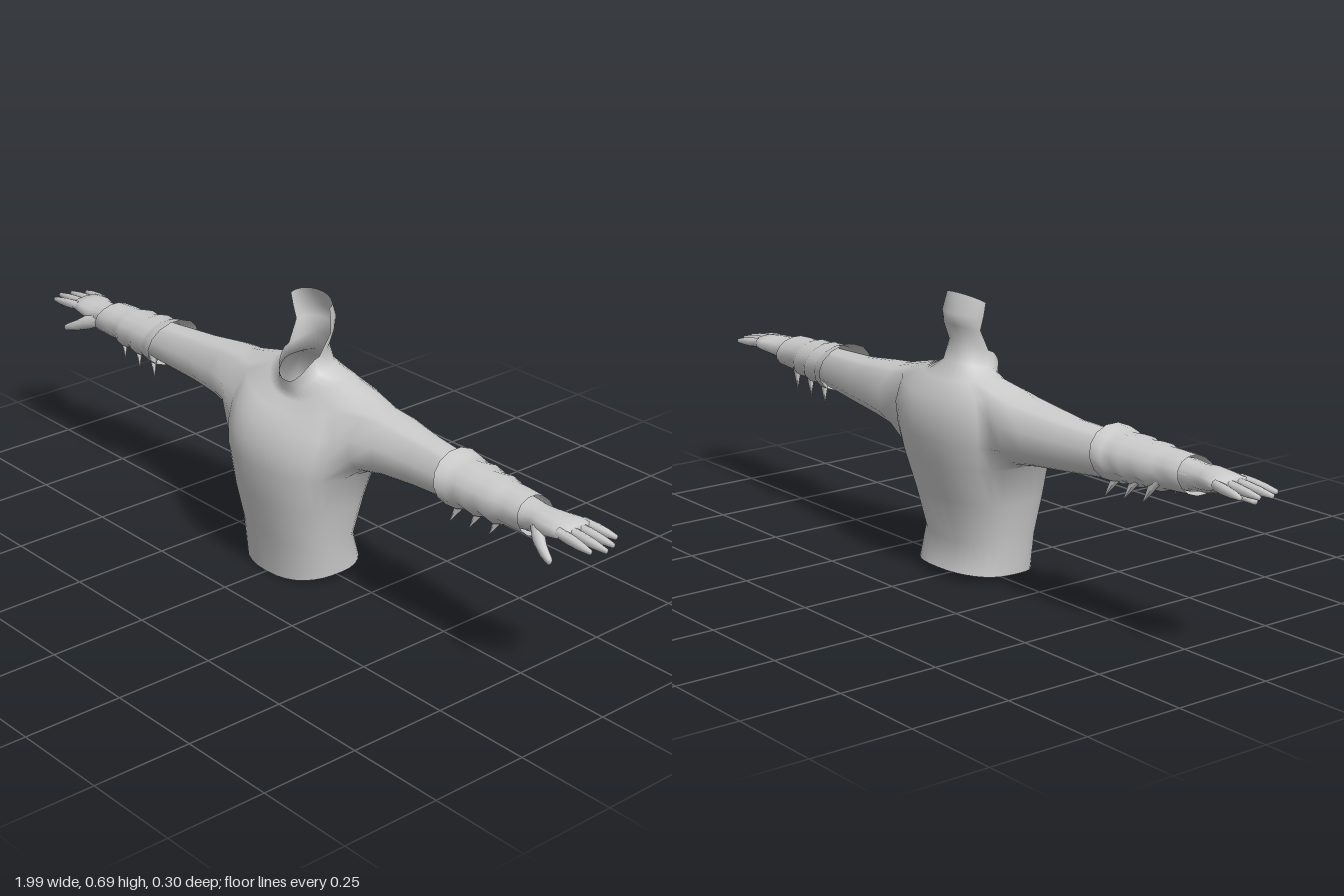
import * as THREE from 'three';

const material = new THREE.MeshStandardMaterial({ color: 0xcccccc, side: THREE.DoubleSide });

function meshFrom(name, positions, indices) {
  const g = new THREE.BufferGeometry();
  g.setAttribute('position', new THREE.Float32BufferAttribute(positions, 3));
  g.setIndex(indices);
  g.computeVertexNormals();
  const m = new THREE.Mesh(g, material);
  m.name = name;
  return m;
}

// Tube along x from oval sections [x, yCentre, yRadius, zCentre, zRadius];
// skew slants each ring, tip closes the end with a point
function loft(name, sections, sides, { tip = false, skew = 0 } = {}) {
  const pos = [], idx = [];
  for (const [x, yc, ry, zc, rz] of sections) {
    for (let k = 0; k < sides; k++) {
      const a = (k / sides) * Math.PI * 2;
      pos.push(x + skew * Math.sin(a), yc + ry * Math.sin(a), zc + rz * Math.cos(a));
    }
  }
  for (let i = 0; i < sections.length - 1; i++) {
    for (let k = 0; k < sides; k++) {
      const n = (k + 1) % sides, p = i * sides, q = p + sides;
      idx.push(p + k, q + k, q + n, p + k, q + n, p + n);
    }
  }
  if (tip) {
    const [x, yc, ry, zc] = sections.at(-1);
    const last = (sections.length - 1) * sides, end = pos.length / 3;
    pos.push(x + ry * 0.5, yc, zc);
    for (let k = 0; k < sides; k++) idx.push(last + k, end, last + (k + 1) % sides);
  }
  return meshFrom(name, pos, idx);
}

// Torso, raised neck and sleeves as one continuous open shell
function buildBody() {
  const N = 32, pos = [], idx = [];
  const bow = (v) => Math.sign(v) * Math.abs(v) ** 0.85;
  // [yFront, ySide, yBack, zFront, zBack, halfWidth]
  const rows = [
    [0, 0.015, 0.022, 0.12, -0.115, 0.145],
    [0.1, 0.1, 0.09, 0.125, -0.09, 0.15],
    [0.2, 0.2, 0.2, 0.146, -0.118, 0.17],
    [0.29, 0.295, 0.29, 0.152, -0.142, 0.197],
    [0.345, 0.35, 0.35, 0.145, -0.151, 0.21],
    [0.39, 0.41, 0.4, 0.12, -0.152, 0.215],
    [0.422, 0.485, 0.45, 0.088, -0.138, 0.19],
    [0.442, 0.502, 0.488, 0.055, -0.108, 0.115],
    [0.462, 0.515, 0.528, 0.052, -0.072, 0.065],
    [0.488, 0.552, 0.58, 0.056, -0.058, 0.056],
  ];
  for (const [yf, ys, yb, zf, zb, hw] of rows) {
    for (let c = 0; c < N; c++) {
      const a = (c / N) * Math.PI * 2, s = Math.sin(a);
      const zc = (zf + zb) / 2, hd = (zf - zb) / 2;
      pos.push(hw * bow(Math.cos(a)), ys + ((s > 0 ? yf : yb) - ys) * Math.abs(s) ** 1.5, zc + hd * bow(s));
    }
  }
  const id = (r, c) => r * N + (c + N) % N;
  const quad = (a, b, c, d) => idx.push(a, b, c, a, c, d);

  // Skin the torso, leaving an opening on each side for the arms
  const low = 3, high = 6, half = 3;
  for (let r = 0; r < rows.length - 1; r++) {
    for (let c = 0; c < N; c++) {
      const near = (m) => Math.abs(((c + 0.5 - m + N * 1.5) % N) - N / 2) < half;
      if (r >= low && r < high && (near(0) || near(N / 2))) continue;
      quad(id(r, c), id(r + 1, c), id(r + 1, c + 1), id(r, c + 1));
    }
  }

  // Half-round guard rising behind the neck: [ySide, yBack, zSide, zBack, halfWidth]
  const guard = [
    [0.605, 0.615, -0.03, -0.07, 0.062],
    [0.64, 0.642, -0.025, -0.074, 0.068],
    [0.672, 0.69, -0.02, -0.052, 0.07],
  ];
  let below = [];
  for (let c = N / 2; c <= N; c++) below.push(id(rows.length - 1, c));
  for (const [ys, yb, zs, zb, hw] of guard) {
    const ring = below.map((_, k) => {
      const a = Math.PI * (1 + k / (N / 2)), s = -Math.sin(a);
      pos.push(hw * Math.cos(a), ys + (yb - ys) * s, zs + (zb - zs) * s);
      return pos.length / 3 - 1;
    });
    for (let k = 0; k < ring.length - 1; k++) quad(below[k], ring[k], ring[k + 1], below[k + 1]);
    below = ring;
  }

  // Sleeves grow out of the openings: [x, yCentre, yRadius, zCentre, zRadius]
  const sleeve = [
    [0.235, 0.394, 0.08, -0.025, 0.094],
    [0.3, 0.397, 0.072, -0.028, 0.082],
    [0.4, 0.395, 0.062, -0.025, 0.066],
    [0.53, 0.397, 0.053, -0.015, 0.056],
    [0.66, 0.4, 0.044, -0.005, 0.046],
    [0.78, 0.402, 0.034, 0, 0.038],
  ];
  const border = [];
  for (let c = -half; c < half; c++) border.push([low, c]);
  for (let r = low; r < high; r++) border.push([r, half]);
  for (let c = half; c > -half; c--) border.push([high, c]);
  for (let r = high; r > low; r--) border.push([r, -half]);
  const angles = border.map(([r, c]) => {
    const i = id(r, c) * 3;
    return Math.atan2((pos[i + 1] - 0.382) / 0.09, (pos[i + 2] + 0.015) / 0.1);
  });
  for (const side of [1, -1]) {
    let prev = border.map(([r, c]) => id(r, side > 0 ? c : N / 2 - c));
    for (const [x, yc, ry, zc, rz] of sleeve) {
      const ring = angles.map((a) => {
        pos.push(side * x, yc + ry * Math.sin(a), zc + rz * Math.cos(a));
        return pos.length / 3 - 1;
      });
      ring.forEach((v, k) => {
        const n = (k + 1) % ring.length;
        if (side > 0) quad(prev[k], v, ring[n], prev[n]);
        else quad(prev[k], prev[n], ring[n], v);
      });
      prev = ring;
    }
  }
  return meshFrom('body', pos, idx);
}

function buildForearm() {
  const g = new THREE.Group();

  // Ridged gauntlet with a flared elbow rim
  g.add(loft('gauntlet', [
    [0.525, 0.405, 0.064, -0.01, 0.08],
    [0.555, 0.402, 0.061, -0.01, 0.075],
    [0.575, 0.402, 0.054, -0.008, 0.066],
    [0.61, 0.402, 0.057, -0.008, 0.072],
    [0.635, 0.402, 0.05, -0.006, 0.06],
    [0.67, 0.402, 0.053, -0.005, 0.067],
    [0.695, 0.403, 0.046, -0.004, 0.055],
    [0.73, 0.404, 0.045, -0.002, 0.056],
    [0.775, 0.404, 0.042, 0, 0.056],
  ], 14, { skew: -0.015 }));

  // Two rows of swept spikes under the forearm
  for (const side of [1, -1]) {
    for (let i = 0; i < 3; i++) {
      const spike = new THREE.Mesh(new THREE.ConeGeometry(0.018, 0.07, 5), material);
      spike.name = 'spike';
      spike.scale.z = 0.6;
      spike.position.set(0.558 + i * 0.062, 0.343 + i * 0.007, -0.012 + side * 0.04);
      spike.rotation.set(-side * 0.3, 0, Math.PI - 0.4);
      g.add(spike);
    }
  }

  // Palm with the glove cuff
  g.add(loft('palm', [
    [0.75, 0.402, 0.037, 0, 0.042],
    [0.79, 0.404, 0.031, 0, 0.037],
    [0.82, 0.405, 0.03, 0.002, 0.044],
    [0.86, 0.409, 0.023, -0.003, 0.051],
    [0.895, 0.411, 0.016, -0.004, 0.05],
  ], 12, { tip: true }));

  // Fingers: [tip x, root z, tip z]
  [[0.965, -0.043, -0.053], [0.988, -0.017, -0.02], [0.997, 0.009, 0.011], [0.978, 0.034, 0.041]]
    .forEach(([end, z0, z1]) => {
      const at = (t, r) => [0.875 + (end - 0.875) * t, 0.413 - 0.008 * t, r, z0 + (z1 - z0) * t, r];
      g.add(loft('finger', [at(0, 0.012), at(0.35, 0.0125), at(0.65, 0.0105), at(0.96, 0.006)], 8, { tip: true }));
    });

  // Thumb angled forward and down
  g.add(loft('thumb', [
    [0.795, 0.398, 0.022, 0.018, 0.02],
    [0.825, 0.385, 0.021, 0.042, 0.02],
    [0.855, 0.37, 0.015, 0.058, 0.014],
    [0.885, 0.359, 0.009, 0.069, 0.009],
  ], 8, { tip: true }));
  return g;
}

export function createModel() {
  const model = new THREE.Group();
  model.name = 'armouredTorso';
  model.add(buildBody());
  for (const side of [1, -1]) {
    const forearm = buildForearm();
    forearm.name = side > 0 ? 'leftForearm' : 'rightForearm';
    forearm.scale.x = side;
    model.add(forearm);
  }
  return model;
}
